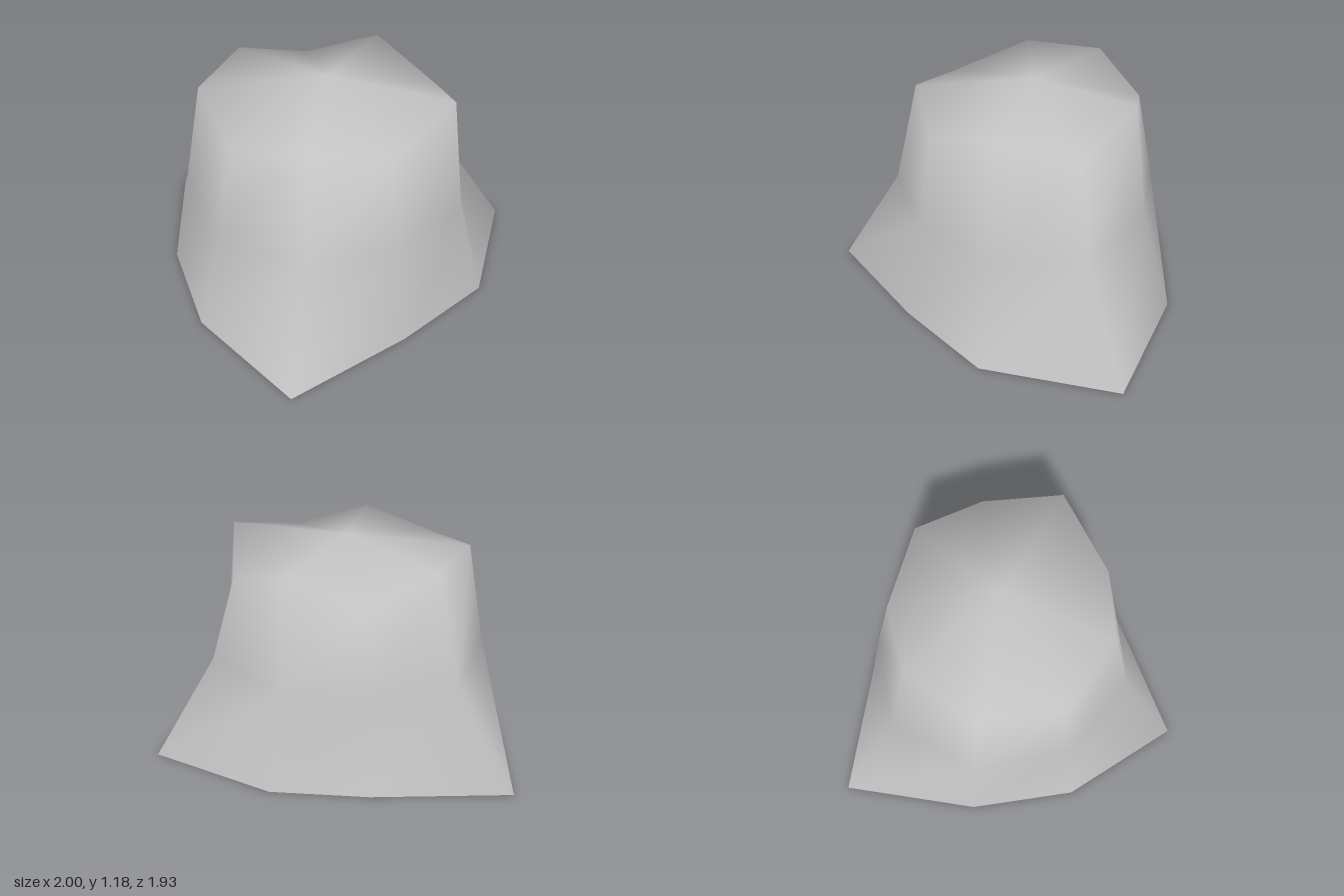
import * as THREE from 'three';

export function createModel() {
  const grey = new THREE.MeshStandardMaterial({ color: 0xc4c4c4, side: THREE.DoubleSide });
  grey.name = 'stone grey';

  // Cross-sections as [x, y, z], counterclockwise from the model's right
  const base = [
    [-1, 0, 0.01], [-0.5, 0, 0.57], [0, 0, 0.87], [0.7, 0, 0.96], [0.9, 0, 0.28],
    [1, 0, -0.3], [0.72, 0, -0.97], [0.01, 0, -0.8], [-0.43, 0, -0.49],
  ];
  const waist = [
    [-0.61, 0.53, 0.01], [-0.43, 0.53, 0.5], [0.04, 0.53, 0.74], [0.53, 0.54, 0.66], [0.785, 0.53, 0.24],
    [0.85, 0.53, -0.26], [0.56, 0.54, -0.64], [0.04, 0.53, -0.64], [-0.38, 0.53, -0.42],
  ];
  const rim = [
    [-0.47, 1.13, 0], [-0.36, 1.11, 0.43], [0.05, 1.01, 0.64], [0.45, 1.1, 0.54], [0.71, 1.02, 0.21],
    [0.77, 1.15, -0.23], [0.47, 1.01, -0.53], [0.05, 1.15, -0.57], [-0.3, 1.01, -0.37],
  ];
  const peak = [0.15, 1.18, 0];
  const rings = [base, waist, rim];
  const n = base.length;
  const index = [];

  // Flared walls, open underneath
  for (let r = 0; r < rings.length - 1; r++) {
    for (let i = 0; i < n; i++) {
      const j = (i + 1) % n;
      const a = r * n + i, b = r * n + j, c = a + n, d = b + n;
      index.push(a, b, d, a, d, c);
    }
  }
  // Crown: a fan up to the peak
  const top = (rings.length - 1) * n;
  for (let i = 0; i < n; i++) index.push(top + i, top + (i + 1) % n, rings.length * n);

  const geometry = new THREE.BufferGeometry();
  geometry.setAttribute('position', new THREE.Float32BufferAttribute([...rings.flat(), peak].flat(), 3));
  geometry.setIndex(index);
  geometry.computeVertexNormals();

  const rock = new THREE.Mesh(geometry, grey);
  rock.name = 'rock';
  const group = new THREE.Group();
  group.name = 'flaredRock';
  group.add(rock);
  return group;
}
